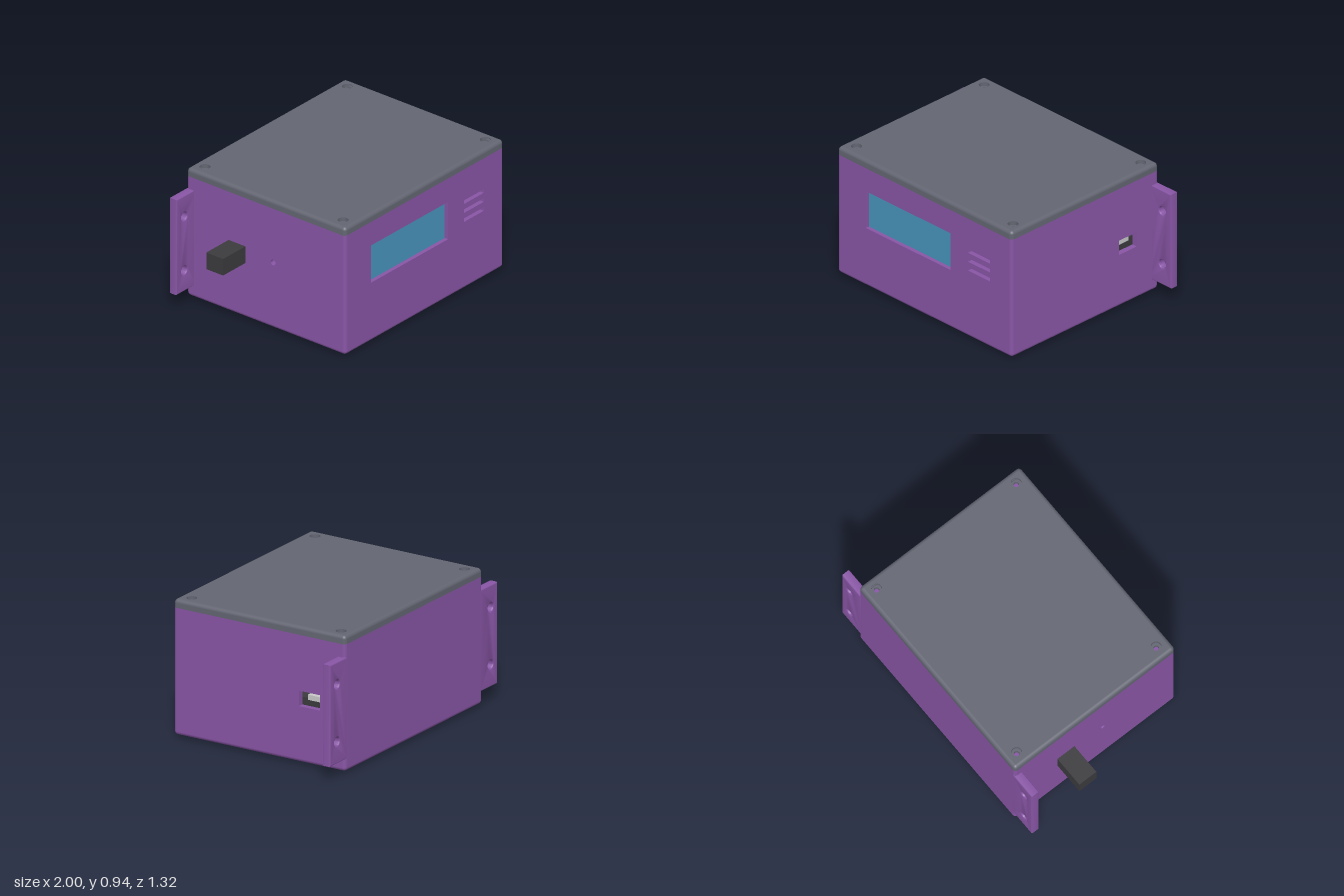
import * as THREE from 'three';
import { toCreasedNormals } from 'three/addons/utils/BufferGeometryUtils.js';

const mat = (name, color) => Object.assign(new THREE.MeshStandardMaterial({ color }), { name });

// Enclosure extents, edge radius and wall thickness
const X0 = -0.775, X1 = 0.82, Z = 0.66, Y0 = 0.015, SEAM = 0.88, TOP = 0.937;
const R = 0.025, WALL = 0.04, CX = (X0 + X1) / 2, W = X1 - X0;

export function createModel() {
  const purple = mat('purple shell', 0x8855a5);
  const grey = mat('slate lid', 0x636672);
  const blue = mat('display blue', 0x4894bc);
  const dark = mat('dark plastic', 0x3b3b3f);
  const light = mat('light metal', 0xc8c8c8);

  const model = new THREE.Group();
  model.name = 'electronicsEnclosure';
  const group = (name) => {
    const g = new THREE.Group();
    g.name = name;
    model.add(g);
    return g;
  };
  const add = (parent, name, geo, material, x = 0, y = 0, z = 0) => {
    const m = new THREE.Mesh(geo, material);
    m.name = name;
    m.position.set(x, y, z);
    parent.add(m);
    return m;
  };
  // Box given by its extents
  const box = (parent, name, material, x0, x1, y0, y1, z0, z1) =>
    add(parent, name, new THREE.BoxGeometry(x1 - x0, y1 - y0, z1 - z0), material,
      (x0 + x1) / 2, (y0 + y1) / 2, (z0 + z1) / 2);

  const trace = (path, a, b, c, d) => {
    path.moveTo(a, c);
    path.lineTo(b, c);
    path.lineTo(b, d);
    path.lineTo(a, d);
    path.closePath();
    return path;
  };
  const rectHole = (a, b, c, d) => trace(new THREE.Path(), a, b, c, d);
  const roundHole = (x, y, r) => new THREE.Path().absarc(x, y, r, 0, Math.PI * 2, true);
  const plate = (shape, holes, depth, options = {}) => {
    shape.holes.push(...holes);
    return toCreasedNormals(new THREE.ExtrudeGeometry(shape,
      { depth, bevelEnabled: false, curveSegments: 16, ...options }), 0.6);
  };
  const rect = (a, b, c, d) => trace(new THREE.Shape(), a, b, c, d);

  // Rounded horizontal edges and corners around the enclosure
  const rim = (parent, material, y) => {
    for (const s of [-1, 1]) {
      const long = add(parent, 'roundedEdge', new THREE.CylinderGeometry(R, R, W - 2 * R, 24, 1, true),
        material, CX, y, s * (Z - R));
      long.rotation.z = Math.PI / 2;
      const side = add(parent, 'roundedEdge', new THREE.CylinderGeometry(R, R, 2 * (Z - R), 24, 1, true),
        material, CX + s * (W / 2 - R), y, 0);
      side.rotation.x = Math.PI / 2;
      for (const t of [-1, 1])
        add(parent, 'roundedCorner', new THREE.SphereGeometry(R, 24, 12), material,
          CX + s * (W / 2 - R), y, t * (Z - R));
    }
  };

  // Hollow body: walls with openings, floor and rounded edges
  const body = group('body');
  const slots = [0.5, 0.565, 0.63].map((y) => rectHole(0.42, 0.62, y, y + 0.026));
  add(body, 'frontWall', plate(rect(X0 + R, X1 - R, Y0 + R, SEAM),
    [rectHole(-0.515, 0.26, 0.44, 0.71), ...slots], WALL), purple, 0, 0, Z - WALL);
  add(body, 'backWall', plate(rect(X0 + R, X1 - R, Y0 + R, SEAM), [], WALL), purple, 0, 0, -Z);
  const sideWall = (name, x, hole) => {
    add(body, name, plate(rect(-Z + R, Z - R, Y0 + R, SEAM), [hole], WALL), purple, x)
      .rotation.y = Math.PI / 2;
  };
  sideWall('leftWall', X1 - WALL, rectHole(0.305, 0.465, 0.395, 0.5));
  sideWall('rightWall', X0, roundHole(-0.06, 0.49, 0.02));
  const sensorX = [-0.207, -0.493];
  add(body, 'floor', plate(rect(X0 + R, X1 - R, -Z + R, Z - R),
    sensorX.map((x) => roundHole(x, -0.11, 0.08)), WALL), purple, 0, Y0).rotation.x = -Math.PI / 2;
  rim(body, purple, Y0 + R);
  for (const x of [X0 + R, X1 - R])
    for (const z of [-Z + R, Z - R])
      add(body, 'roundedUpright', new THREE.CylinderGeometry(R, R, SEAM - Y0 - R, 24),
        purple, x, (SEAM + Y0 + R) / 2, z);

  // Lid with counterbored screw holes above purple posts
  const lid = group('lid');
  const screws = [];
  for (const x of [-0.69, 0.742]) for (const z of [-0.577, 0.572]) screws.push([x, z]);
  const layer = (name, y, depth, r) => {
    add(lid, name, plate(rect(X0 + R, X1 - R, -Z + R, Z - R),
      screws.map(([x, z]) => roundHole(x, -z, r)), depth), grey, 0, y).rotation.x = -Math.PI / 2;
  };
  layer('lidUnderside', SEAM, 0.03, 0.018);
  layer('lidTop', SEAM + 0.03, TOP - SEAM - 0.03, 0.035);
  const outline = new THREE.Shape();
  outline.absarc(X1 - R, Z - R, R, 0, Math.PI / 2);
  outline.absarc(X0 + R, Z - R, R, Math.PI / 2, Math.PI);
  outline.absarc(X0 + R, -Z + R, R, Math.PI, Math.PI * 1.5);
  outline.absarc(X1 - R, -Z + R, R, Math.PI * 1.5, Math.PI * 2);
  add(lid, 'lidSkirt', plate(outline, [rectHole(X0 + R, X1 - R, -Z + R, Z - R)], TOP - R - SEAM),
    grey, 0, SEAM).rotation.x = -Math.PI / 2;
  rim(lid, grey, TOP - R);
  for (const [x, z] of screws)
    add(body, 'screwPost', new THREE.CylinderGeometry(0.055, 0.055, SEAM - 0.04, 24),
      purple, x, (SEAM + 0.04) / 2, z);

  // Mounting ears with two holes each
  const ears = group('mountingEars');
  const ear = (name, a, b, holeX) => {
    const bevel = 0.008;
    add(ears, name, plate(rect(a, b, 0.1, 0.79), [0.25, 0.64].map((y) => roundHole(holeX, y, 0.03)),
      0.06 - 2 * bevel, { bevelEnabled: true, bevelSize: bevel, bevelThickness: bevel,
        bevelOffset: -bevel, bevelSegments: 3 }), purple, 0, 0, -Z + bevel);
  };
  ear('rightEar', -0.948, X0 + 0.03, -0.87);
  ear('leftEar', X1 - 0.03, 0.995, 0.915);

  // Display behind the front window
  box(model, 'display', blue, -0.53, 0.275, 0.425, 0.725, 0.59, 0.632);

  // Cable plug on the right side
  box(model, 'plug', dark, -1, X0 + 0.05, 0.41, 0.53, -0.31, -0.17);

  // Circuit board parts seen through the side port and the slots
  const inside = group('interior');
  box(inside, 'circuitBoard', dark, 0.3, 0.75, 0.36, 0.435, -0.5, -0.1);
  box(inside, 'metalShield', light, 0.35, 0.6, 0.435, 0.468, -0.5, -0.2);
  box(inside, 'portSocket', light, 0.6, 0.77, 0.43, 0.465, -0.44, -0.34);
  box(inside, 'module', dark, 0.3, 0.49, 0.42, 0.507, 0.3, 0.45);

  // Round sensors in the floor
  const sensors = group('floorSensors');
  add(sensors, 'darkSensor', new THREE.CylinderGeometry(0.106, 0.106, 0.05, 40), dark, 0.35, 0.025, 0.085);
  for (const x of sensorX)
    add(sensors, 'metalSensor', new THREE.CylinderGeometry(0.085, 0.085, 0.04, 32), light, x, 0.052, 0.11);

  return model;
}
